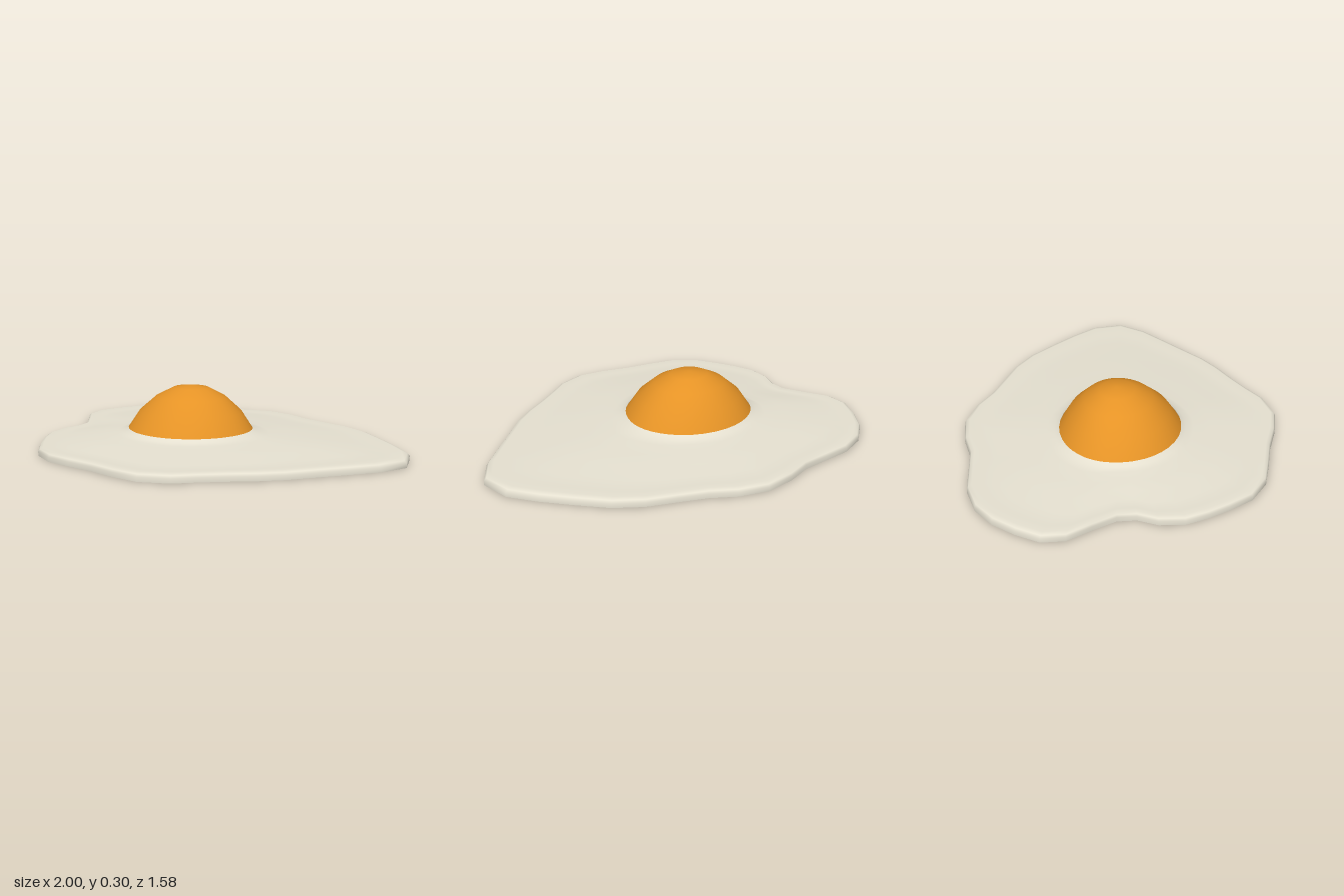
import * as THREE from 'three';
import { mergeVertices } from 'three/addons/utils/BufferGeometryUtils.js';

const CENTER_X = -0.152, CENTER_Z = -0.005;

// Wavy edge of the egg white as [x, z], clockwise seen from above
const OUTLINE = [
  [-0.15, -0.79], [0, -0.77], [0.13, -0.72], [0.27, -0.69], [0.42, -0.66], [0.56, -0.60], [0.70, -0.50], [0.83, -0.40],
  [0.945, -0.295], [1.0, -0.145], [0.94, 0.0], [0.85, 0.12], [0.75, 0.25], [0.66, 0.37], [0.57, 0.46], [0.46, 0.55],
  [0.36, 0.64], [0.28, 0.72], [0.14, 0.785], [0, 0.785], [-0.15, 0.765], [-0.30, 0.76], [-0.44, 0.75], [-0.57, 0.69],
  [-0.66, 0.59], [-0.73, 0.50], [-0.79, 0.40], [-0.81, 0.28], [-0.79, 0.18], [-0.81, 0.09], [-0.89, -0.01], [-0.975, -0.11],
  [-1.0, -0.22], [-0.965, -0.34], [-0.91, -0.46], [-0.825, -0.56], [-0.70, -0.63], [-0.56, -0.66], [-0.42, -0.69], [-0.30, -0.75],
];

// Slightly egg-shaped yolk ring, a bit longer toward the front
function yolkRing(radius) {
  return OUTLINE.map(([x, z]) => {
    const a = Math.atan2(z - CENTER_Z, x - CENTER_X);
    const depth = Math.sin(a) > 0 ? 0.985 : 0.865;
    return [CENTER_X + Math.cos(a) * radius, CENTER_Z + Math.sin(a) * radius * depth];
  });
}

// Joins closed rings of [x, z] points, each at its own height, into a smooth skin
function skin(rings) {
  const n = OUTLINE.length, positions = [], index = [];
  rings.forEach(({ points, y }) => points.forEach(([x, z]) => positions.push(x, y, z)));
  for (let i = 0; i < rings.length - 1; i++) {
    for (let j = 0; j < n; j++) {
      const k = (j + 1) % n;
      const a = i * n + j, b = i * n + k, c = a + n, d = b + n;
      index.push(a, c, b, b, c, d);
    }
  }
  let geometry = new THREE.BufferGeometry();
  geometry.setAttribute('position', new THREE.Float32BufferAttribute(positions, 3));
  geometry.setIndex(index);
  geometry = mergeVertices(geometry, 1e-5);
  geometry.computeVertexNormals();
  return geometry;
}

export function createModel() {
  const model = new THREE.Group();
  model.name = 'friedEgg';
  const whiteMaterial = new THREE.MeshStandardMaterial({ color: 0xe5e0d0 });
  whiteMaterial.name = 'eggWhite';
  const yolkMaterial = new THREE.MeshStandardMaterial({ color: 0xe59326 });
  yolkMaterial.name = 'yolkOrange';

  const add = (name, geometry, material) => {
    const mesh = new THREE.Mesh(geometry, material);
    mesh.name = name;
    model.add(mesh);
  };

  // Egg white: [blend from edge to yolk, height], with a soft lip and a raised collar
  const inner = yolkRing(0.33);
  const whiteProfile = [
    [0, 0], [0, 0.022], [0.015, 0.034], [0.05, 0.042], [0.14, 0.037], [0.3, 0.041],
    [0.5, 0.05], [0.7, 0.057], [0.87, 0.062], [0.95, 0.069], [1, 0.084],
  ];
  add('eggWhite', skin(whiteProfile.map(([t, y]) => ({
    y,
    points: OUTLINE.map(([x, z], j) => [
      THREE.MathUtils.lerp(x, inner[j][0], t),
      THREE.MathUtils.lerp(z, inner[j][1], t),
    ]),
  }))), whiteMaterial);

  // Flat underside
  add('underside', skin([
    { y: 0, points: OUTLINE.map(() => [CENTER_X, CENTER_Z]) },
    { y: 0, points: OUTLINE },
  ]), whiteMaterial);

  // Yolk dome: [radius, height]
  const yolkProfile = [[0.332, 0.078], [0.27, 0.17], [0.185, 0.243], [0.095, 0.288], [0, 0.302]];
  add('yolk', skin(yolkProfile.map(([r, y]) => ({ y, points: yolkRing(r) }))), yolkMaterial);

  return model;
}
